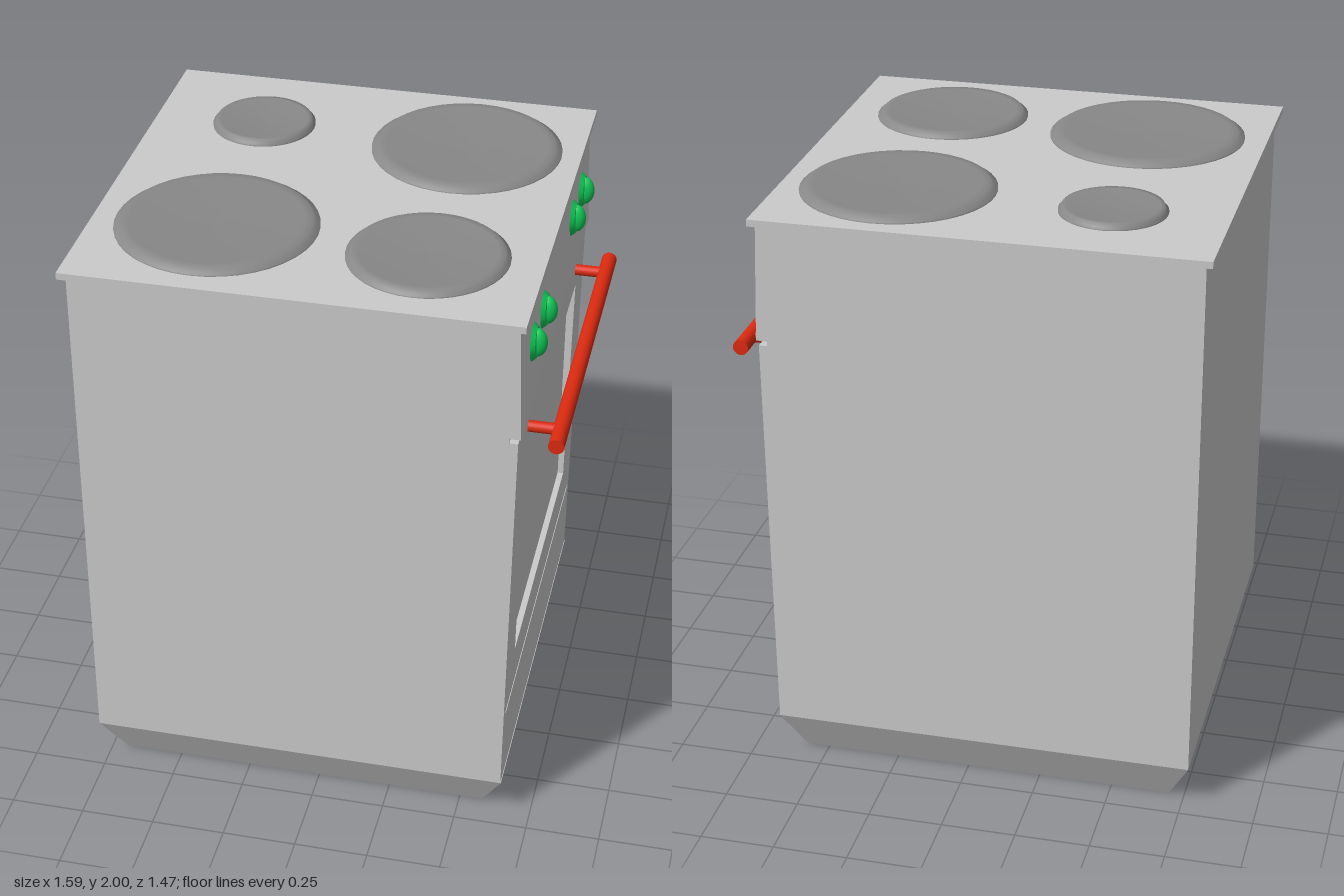
import * as THREE from 'three';

const material = (color, extra = {}) => new THREE.MeshStandardMaterial({ color, ...extra });
const grey = material(0xcccccc, { flatShading: true });
const darkGrey = material(0x888888, { side: THREE.DoubleSide });
const red = material(0xdd2a10);
const green = material(0x10cc58);

const HALF = 0.712;     // half width of the body
const CENTRE = -0.06;   // body centre in x; the oven door faces +x

function add(parent, name, geometry, mat, x = 0, y = 0, z = 0) {
  const mesh = new THREE.Mesh(geometry, mat);
  mesh.name = name;
  mesh.position.set(x, y, z);
  parent.add(mesh);
  return mesh;
}

function rectangle(path, halfWidth, low, high) {
  path.moveTo(-halfWidth, low);
  path.lineTo(halfWidth, low);
  path.lineTo(halfWidth, high);
  path.lineTo(-halfWidth, high);
  path.closePath();
  return path;
}

function createFrontPanel() {
  // Door and drawer front with a recessed window and a groove between them
  const shape = rectangle(new THREE.Shape(), HALF, 0.15, 1.542);
  shape.holes.push(rectangle(new THREE.Path(), 0.528, 0.59, 1.4));
  shape.holes.push(rectangle(new THREE.Path(), 0.675, 0.426, 0.44));
  const geometry = new THREE.ExtrudeGeometry(shape, { depth: 0.03, bevelEnabled: false });
  geometry.rotateY(Math.PI / 2).translate(0.62, 0, 0);
  // The front leans out slightly towards the top
  const p = geometry.attributes.position;
  for (let i = 0; i < p.count; i++) {
    if (p.getX(i) > 0.64) p.setX(i, p.getX(i) + (p.getY(i) - 0.15) * 0.008);
  }
  geometry.computeVertexNormals();
  return geometry;
}

function createControlPanel() {
  // Tilted strip that overhangs the door
  const shape = new THREE.Shape([[0.62, 1.558], [0.67, 1.558], [0.655, 1.957], [0.62, 1.957]]
    .map(([x, y]) => new THREE.Vector2(x, y)));
  return new THREE.ExtrudeGeometry(shape, { depth: 2 * HALF, bevelEnabled: false })
    .translate(0, 0, -HALF);
}

function createHotplate(r) {
  // Low disc with a stepped rim and a shallow dish in the middle
  const profile = [[r, 1.977], [r, 1.984], [r * 0.96, 1.988], [r * 0.93, 2],
    [r * 0.85, 1.999], [r * 0.45, 1.992], [0, 1.99]];
  return new THREE.LatheGeometry(profile.map(([x, y]) => new THREE.Vector2(x, y)), 40);
}

function createKnob(z) {
  const knob = new THREE.Group();
  knob.name = 'knob';
  const flange = new THREE.CylinderGeometry(0.05, 0.063, 0.016, 28).rotateZ(-Math.PI / 2);
  add(knob, 'knobFlange', flange, green, 0.006);
  const grip = add(knob, 'knobGrip', new THREE.SphereGeometry(1, 24, 16), green, 0.012);
  grip.scale.set(0.034, 0.05, 0.025);
  knob.position.set(0.662, 1.78, z);
  knob.rotation.z = 0.038;
  return knob;
}

export function createModel() {
  const stove = new THREE.Group();
  stove.name = 'stove';

  // Cabinet, tapered base and top plate
  add(stove, 'cabinet', new THREE.BoxGeometry(1.405, 1.81, 2 * HALF), grey, -0.0675, 1.055, 0);
  const base = new THREE.CylinderGeometry(HALF * Math.SQRT2, 0.638 * Math.SQRT2, 0.15, 4)
    .rotateY(Math.PI / 4);
  add(stove, 'base', base, grey, CENTRE, 0.075, 0);
  add(stove, 'topPlate', new THREE.BoxGeometry(1.47, 0.023, 1.47), grey, CENTRE, 1.9675, 0);

  // Front; the cabinet box sits just behind as the floor of the recesses
  stove.getObjectByName('cabinet').position.x = CENTRE - 0.0095;
  add(stove, 'ovenFront', createFrontPanel(), grey);
  add(stove, 'controlPanel', createControlPanel(), grey);

  // Four hotplates: x, z, radius
  for (const [x, z, r] of [[-0.42, -0.39, 0.175], [0.29, -0.355, 0.32],
    [-0.39, 0.33, 0.33], [0.305, 0.38, 0.26]]) {
    add(stove, 'hotplate', createHotplate(r), darkGrey, x, 0, z);
  }

  for (const z of [0.49, 0.29, -0.32, -0.52]) stove.add(createKnob(z));

  // Door handle on two posts
  const handle = new THREE.Group();
  handle.name = 'handle';
  const bar = new THREE.CylinderGeometry(0.026, 0.026, 1.204, 24).rotateX(Math.PI / 2);
  add(handle, 'handleBar', bar, red, 0.765, 1.474, 0);
  for (const z of [-0.505, 0.5]) {
    const post = new THREE.CylinderGeometry(0.019, 0.019, 0.115, 20).rotateZ(Math.PI / 2);
    add(handle, 'handlePost', post, red, 0.705, 1.474, z);
  }
  stove.add(handle);

  return stove;
}
